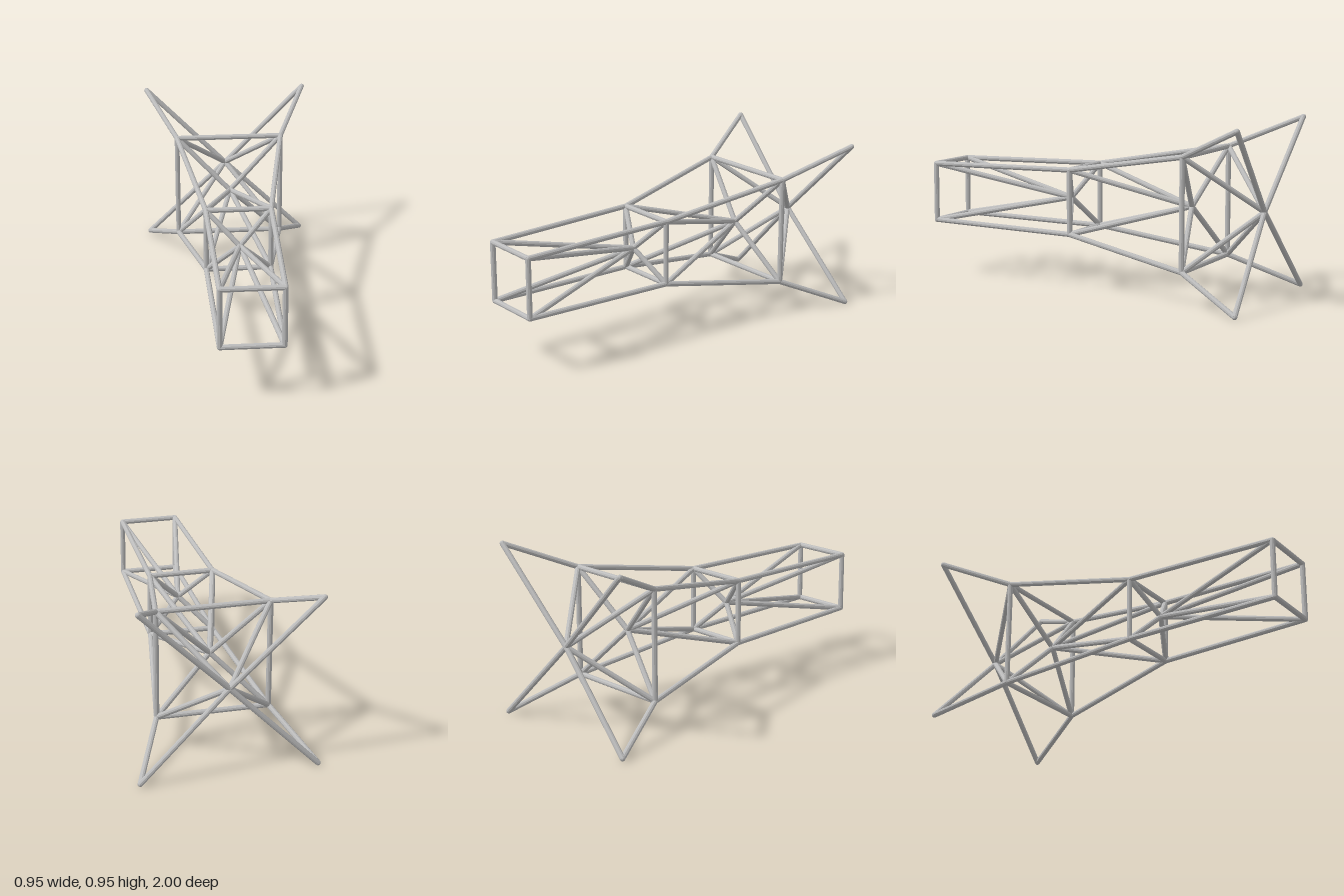
import * as THREE from 'three';

const R = 0.0145;
const CY = 0.474;

export function createModel() {
  const model = new THREE.Group();
  model.name = 'trussFrame';
  const steel = new THREE.MeshStandardMaterial({ color: 0xbcbcbc, flatShading: true });
  steel.name = 'lightGreySteel';

  // Round bar between two points
  const up = new THREE.Vector3(0, 1, 0);
  function strut(name, a, b) {
    const dir = b.clone().sub(a);
    const bar = new THREE.Mesh(new THREE.CylinderGeometry(R, R, dir.length(), 10, 1), steel);
    bar.position.copy(a).add(b).multiplyScalar(0.5);
    bar.quaternion.setFromUnitVectors(up, dir.normalize());
    bar.name = name;
    model.add(bar);
  }

  // Small rounded cap where bars meet
  const ball = new THREE.SphereGeometry(R, 10, 8);
  function joint(p) {
    const cap = new THREE.Mesh(ball, steel);
    cap.position.copy(p);
    cap.name = 'joint';
    model.add(cap);
  }

  // Four corners of a square station, in order around the axis
  const square = (half, z) => [[1, 1], [-1, 1], [-1, -1], [1, -1]]
    .map(([sx, sy]) => new THREE.Vector3(sx * half, CY + sy * half, z));

  // Stations from the front end to the flared rear tips
  const stations = [
    square(0.162, 0.986),
    square(0.177, 0.11),
    square(0.3, -0.62),
    square(0.463, -0.988),
  ];
  // Central node inside each bay
  const nodes = [0.195, -0.54, -0.955].map((z) => new THREE.Vector3(0, CY, z));

  // Square rings; the rear tips stay open
  stations.slice(0, 3).forEach((s) => {
    s.forEach((p, i) => strut('ringBar', p, s[(i + 1) % 4]));
  });

  // Corner rails and the braces running to each bay's central node
  nodes.forEach((node, bay) => {
    for (let i = 0; i < 4; i++) {
      const a = stations[bay][i];
      const b = stations[bay + 1][i];
      strut('cornerRail', a, b);
      strut('frontBrace', a, node);
      strut('rearBrace', node, b);
    }
  });

  [...stations.flat(), ...nodes].forEach(joint);
  return model;
}
